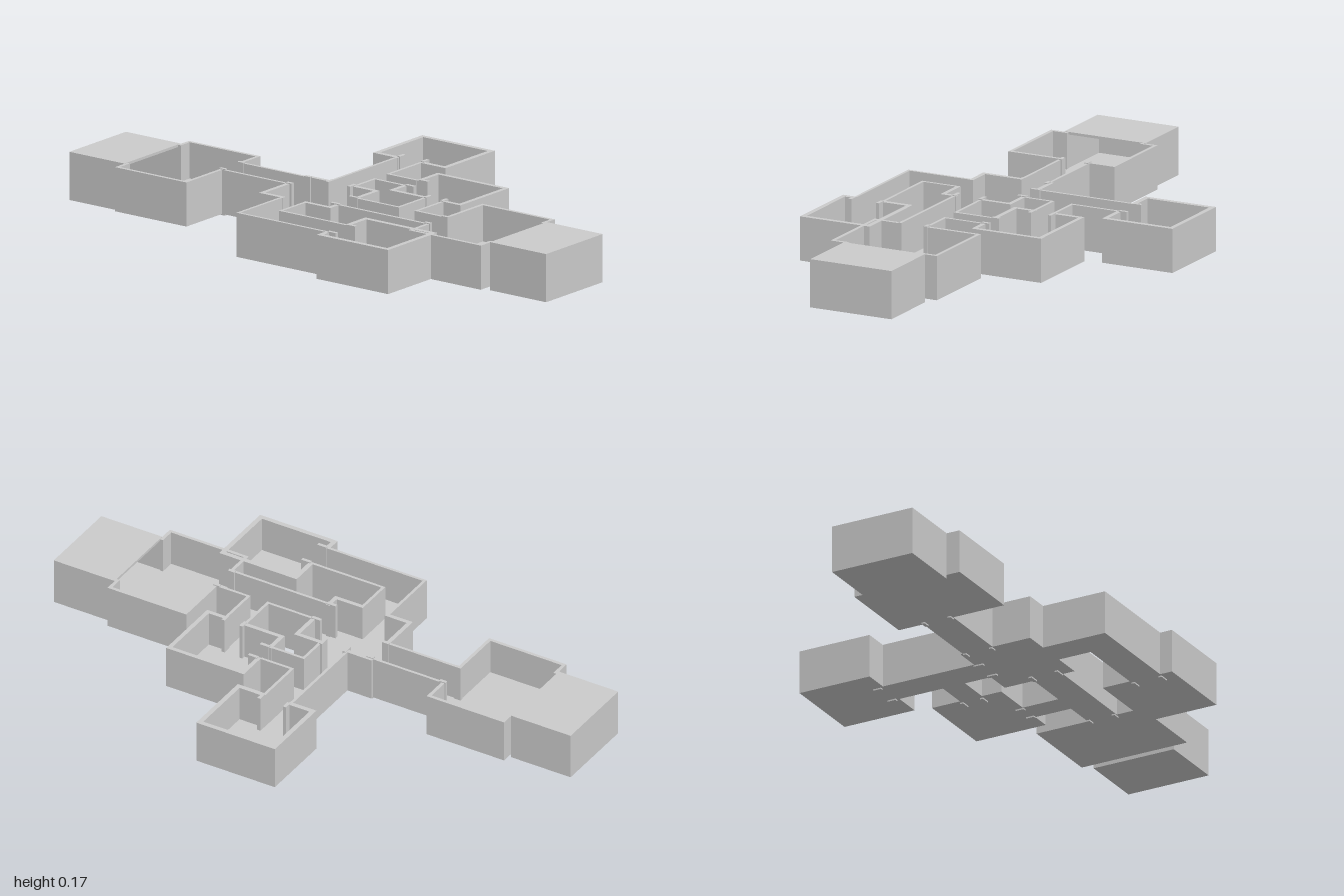
import * as THREE from 'three';

const material = new THREE.MeshStandardMaterial({ color: 0xcccccc, flatShading: true });
const BASE = 0.013, FLOOR = 0.04, TOP = 0.165;

// Axis-aligned block given by its limits
function block(parent, name, x0, x1, z0, z1, y0 = BASE, y1 = TOP) {
  const mesh = new THREE.Mesh(new THREE.BoxGeometry(x1 - x0, y1 - y0, z1 - z0), material);
  mesh.position.set((x0 + x1) / 2, (y0 + y1) / 2, (z0 + z1) / 2);
  mesh.name = name;
  parent.add(mesh);
}

// Wall along its longer side, interrupted by full-height openings
function wall(parent, name, x0, x1, z0, z1, gaps = []) {
  const alongX = x1 - x0 > z1 - z0;
  let start = alongX ? x0 : z0;
  const end = alongX ? x1 : z1;
  for (const [a, b] of [...gaps, [end, end]]) {
    if (a - start > 0.001) {
      if (alongX) block(parent, name, start, a, z0, z1);
      else block(parent, name, x0, x1, start, a);
    }
    start = b;
  }
}

function group(root, name) {
  const g = new THREE.Group();
  g.name = name;
  root.add(g);
  return g;
}

// Roofless room: floor slab and four walls with doorways
function room(root, name, x0, x1, z0, z1, t, doors) {
  const g = group(root, name);
  block(g, 'floor', x0 + t, x1 - t, z0 + t, z1 - t, BASE, FLOOR);
  for (const [side, gaps] of Object.entries(doors)) {
    for (const [a, b] of gaps) { // thresholds
      if (side === 'back') block(g, 'threshold', a, b, z0, z0 + t, BASE, FLOOR);
      if (side === 'front') block(g, 'threshold', a, b, z1 - t, z1, BASE, FLOOR);
      if (side === 'right') block(g, 'threshold', x0, x0 + t, a, b, BASE, FLOOR);
      if (side === 'left') block(g, 'threshold', x1 - t, x1, a, b, BASE, FLOOR);
    }
  }
  wall(g, 'backWall', x0, x1, z0, z0 + t, doors.back);
  wall(g, 'frontWall', x0, x1, z1 - t, z1, doors.front);
  wall(g, 'rightWall', x0, x0 + t, z0 + t, z1 - t, doors.right);
  wall(g, 'leftWall', x1 - t, x1, z0 + t, z1 - t, doors.left);
}

// Corridor: floor slab and two thin walls, gapsA on the low side, gapsB on the high side
function corridor(root, name, axis, x0, x1, z0, z1, gapsA, gapsB) {
  const g = group(root, name), t = 0.01;
  block(g, 'floor', x0, x1, z0, z1, BASE, FLOOR);
  // Walls are set directly so that short corridors keep their direction
  for (const [low, gaps] of [[true, gapsA], [false, gapsB]]) {
    if (axis === 'x') wall(g, 'wall', x0, x1, low ? z0 : z1 - t, low ? z0 + t : z1, gaps);
    else wall(g, 'wall', low ? x0 : x1 - t, low ? x0 + t : x1, z0, z1, gaps);
  }
}

// Pair of door posts, slightly taller than the walls
function doorPosts(root, axis, a, b, c, depth = 0.035) {
  const g = group(root, 'doorFrame'), w = 0.012;
  for (const p of [a, b - w]) {
    if (axis === 'x') block(g, 'doorPost', p, p + w, c, c + depth, 0.008, 0.168);
    else block(g, 'doorPost', c, c + depth, p, p + w, 0.008, 0.168);
  }
}

// Roofed end chamber, open toward its neighbouring room
function chamber(root, name, z0, z1, outer) {
  const g = group(root, name), x0 = -0.3, x1 = 0.005, t = 0.01;
  block(g, 'floor', x0, x1, z0, z1, 0, FLOOR - 0.001);
  block(g, 'roof', x0, x1, z0, z1, TOP - 0.008, TOP + 0.001);
  block(g, 'rightWall', x0, x0 + t, z0, z1, 0, TOP);
  block(g, 'leftWall', x1 - t, x1, z0, z1, 0, TOP);
  if (outer < 0) block(g, 'endWall', x0, x1, z0, z0 + t, 0, TOP);
  else block(g, 'endWall', x0, x1, z1 - t, z1, 0, TOP);
}

export function createModel() {
  const root = new THREE.Group();
  root.name = 'floorPlan';

  // Rooms
  room(root, 'backRoom', -0.35, 0.05, -0.77, -0.47, 0.012,
    { back: [[-0.285, -0.01]], front: [[-0.145, -0.055]] });
  room(root, 'frontRoom', -0.35, 0.05, 0.46, 0.765, 0.012,
    { back: [[-0.24, -0.155]], front: [[-0.285, -0.01]] });
  room(root, 'centralRoom', -0.3, -0.035, -0.205, 0.095, 0.015,
    { back: [[-0.145, -0.055]], front: [[-0.24, -0.155]], right: [[-0.105, -0.02]], left: [[-0.105, -0.015]] });
  room(root, 'leftRoom', 0.312, 0.578, -0.202, 0.102, 0.017, { right: [[-0.1, -0.01]] });
  room(root, 'innerLeftRoom', -0.01, 0.253, 0.115, 0.415, 0.015,
    { back: [[0.075, 0.14]], right: [[0.27, 0.335]] });
  room(root, 'rightRoom', -0.58, -0.317, 0.255, 0.555, 0.017, { back: [[-0.525, -0.43]] });

  // End chambers
  chamber(root, 'backChamber', -1, -0.77, -1);
  chamber(root, 'frontChamber', 0.765, 1, 1);

  // Corridors
  corridor(root, 'backCorridor', 'z', -0.157, -0.044, -0.47, -0.205);
  corridor(root, 'leftCorridor', 'x', -0.035, 0.312, -0.112, 0, [], [[0.073, 0.137]]);
  corridor(root, 'leftBranch', 'z', 0.063, 0.147, 0, 0.115);
  corridor(root, 'frontCorridor', 'z', -0.255, -0.145, 0.095, 0.46, [], [[0.27, 0.335]]);
  corridor(root, 'frontBranch', 'x', -0.145, -0.01, 0.26, 0.345);

  // L-shaped corridor to the right room
  corridor(root, 'rightCorridor', 'x', -0.535, -0.3, -0.117, -0.01, [], [[-0.525, -0.43]]);
  corridor(root, 'rightCorridorLeg', 'z', -0.535, -0.42, -0.01, 0.255);
  block(root, 'cornerWall', -0.535, -0.525, -0.107, -0.01);

  // Door frames
  doorPosts(root, 'z', -0.108, 0.003, 0.322, 0.03);
  doorPosts(root, 'z', -0.108, -0.005, -0.065);
  doorPosts(root, 'z', 0.262, 0.343, -0.012, 0.03);
  doorPosts(root, 'x', 0.065, 0.152, 0.125);
  doorPosts(root, 'x', -0.255, -0.145, 0.06);
  doorPosts(root, 'x', -0.252, -0.145, 0.45, 0.025);
  doorPosts(root, 'x', -0.155, -0.045, -0.485, 0.025);
  doorPosts(root, 'x', -0.155, -0.045, -0.205, 0.025);
  doorPosts(root, 'x', -0.535, -0.42, 0.265);
  return root;
}
